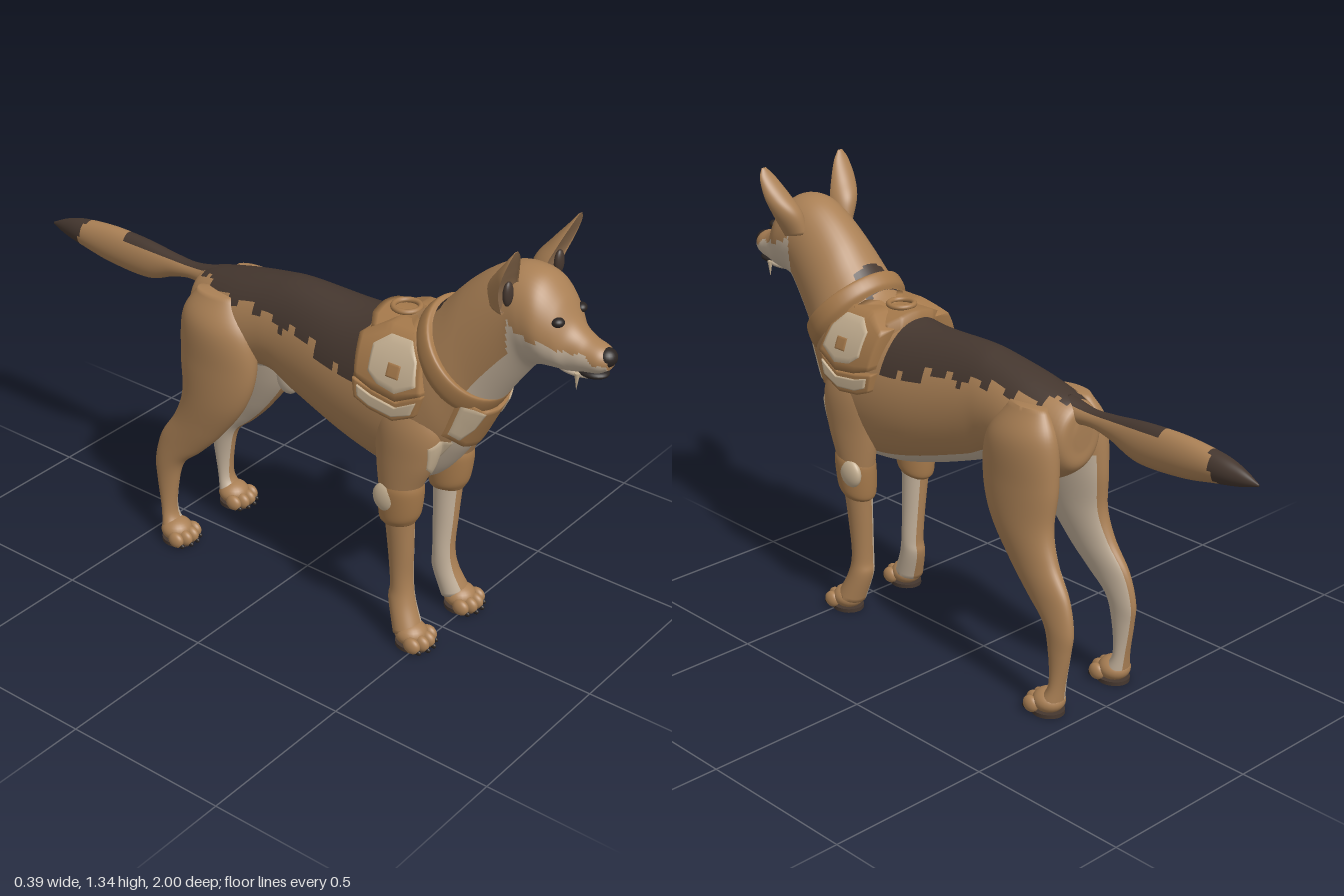
import * as THREE from 'three';

const mat = (name, color, side = THREE.FrontSide) =>
  Object.assign(new THREE.MeshStandardMaterial({ color, side }), { name });

export function createModel() {
  const model = new THREE.Group();
  model.name = 'armouredDog';
  const tan = mat('tan fur', 0xaa8055);
  const cream = mat('cream fur', 0xc2b09a);
  const dark = mat('dark fur', 0x45372f);
  const black = mat('nose black', 0x2a2422);
  const earSkin = mat('inner ear', 0x8c6c4e);
  const armour = mat('armour tan', 0xa5794b, THREE.DoubleSide);
  const panel = mat('armour cream', 0xc6b193, THREE.DoubleSide);
  const fur = [tan, cream, dark, earSkin];

  const add = (name, geo, material) => {
    const m = new THREE.Mesh(geo, material);
    m.name = name;
    model.add(m);
    return m;
  };

  // Skin through oval rings [z1, y1, z2, y2, halfWidth, xCentre]; points 1 and 2 are the
  // two ends of the oval. paint(position, cos, sin) returns a fur index for each face.
  function loft(name, rings, paint, material = fur, dent = 1) {
    const A = new THREE.CatmullRomCurve3(rings.map(r => new THREE.Vector3(r[5] || 0, r[1], r[0])), false, 'catmullrom');
    const B = new THREE.CatmullRomCurve3(rings.map(r => new THREE.Vector3(r[4], r[3], r[2])), false, 'catmullrom');
    const n = (rings.length - 1) * 8, m = 48, pos = [], lists = [[], [], [], []];
    for (let i = 0; i <= n; i++) {
      const a = A.getPoint(i / n), b = B.getPoint(i / n);
      for (let j = 0; j < m; j++) {
        const t = j / m * Math.PI * 2, s = Math.sin(t) * (Math.sin(t) > 0 ? dent : 1);
        pos.push(a.x + b.x * Math.cos(t), (a.y + b.y) / 2 + (a.y - b.y) / 2 * s, (a.z + b.z) / 2 + (a.z - b.z) / 2 * s);
      }
    }
    const p = new THREE.Vector3();
    const pick = (v, j) => {
      const t = (j + 0.5) / m * Math.PI * 2;
      return lists[paint ? paint(p.fromArray(pos, v * 3), Math.cos(t), Math.sin(t)) : 0];
    };
    for (let i = 0; i < n; i++) for (let j = 0; j < m; j++) {
      const k = (j + 1) % m, a = i * m + j, b = i * m + k;
      pick(a, j).push(a, b, a + m, b, b + m, a + m);
    }
    for (let j = 1; j < m - 1; j++) {
      pick(0, j).push(0, j + 1, j);
      pick(n * m, j).push(n * m, n * m + j, n * m + j + 1);
    }
    const g = new THREE.BufferGeometry();
    g.setAttribute('position', new THREE.Float32BufferAttribute(pos, 3));
    g.setIndex(lists.flat());
    let start = 0;
    if (Array.isArray(material)) lists.forEach((l, i) => { if (l.length) g.addGroup(start, l.length, i); start += l.length; });
    g.computeVertexNormals();
    return add(name, g, material);
  }

  function ellipsoid(name, x, y, z, rx, ry, rz, material) {
    const m = add(name, new THREE.SphereGeometry(1, 24, 16), material);
    m.position.set(x, y, z);
    m.scale.set(rx, ry, rz);
    return m;
  }

  // Plate ruled between two outlines, placed by map(u, v, lift), rim folded inwards
  function plate(name, top, bottom, map, material, lift = 0.012, rim = 0.02) {
    const nu = (top.length - 1) * 6, nv = 8, pos = [], idx = [];
    const at = (line, t) => {
      const f = t * (line.length - 1), i = Math.min(Math.floor(f), line.length - 2);
      return [0, 1].map(c => line[i][c] + (line[i + 1][c] - line[i][c]) * (f - i));
    };
    for (let i = -1; i <= nu + 1; i++) for (let j = -1; j <= nv + 1; j++) {
      const ci = Math.min(Math.max(i, 0), nu), cj = Math.min(Math.max(j, 0), nv);
      const a = at(top, ci / nu), b = at(bottom, ci / nu), s = cj / nv;
      pos.push(...map(a[0] + (b[0] - a[0]) * s, a[1] + (b[1] - a[1]) * s, lift - (i !== ci || j !== cj ? rim : 0)));
    }
    const w = nv + 3;
    for (let i = 0; i < nu + 2; i++) for (let j = 0; j < w - 1; j++) {
      const a = i * w + j;
      idx.push(a, a + w, a + 1, a + 1, a + w, a + w + 1);
    }
    const g = new THREE.BufferGeometry();
    g.setAttribute('position', new THREE.Float32BufferAttribute(pos, 3));
    g.setIndex(idx);
    g.computeVertexNormals();
    return add(name, g, material);
  }

  // Body, neck and head with saddle, belly, throat and cheek markings
  const body = loft('body', [
    [-.39, .84, -.385, .76, .03], [-.37, .89, -.37, .69, .085], [-.25, .925, -.25, .63, .12],
    [-.1, .955, -.1, .655, .115], [0, .967, 0, .61, .12], [.2, .962, .2, .54, .148],
    [.31, .975, .36, .505, .16], [.40, 1.0, .47, .515, .16], [.46, 1.045, .56, .62, .155],
    [.50, 1.085, .615, .72, .142], [.555, 1.145, .66, .81, .127], [.62, 1.2, .72, .90, .115],
    [.68, 1.235, .77, .965, .108], [.735, 1.245, .80, .98, .108], [.79, 1.232, .83, .985, .104],
    [.84, 1.185, .86, .985, .083], [.88, 1.125, .885, .985, .06], [.92, 1.095, .92, .995, .05],
    [.965, 1.08, .96, 1.005, .042], [.99, 1.06, .985, 1.02, .025],
  ], (p, c, s) => {
    const jag = .012 * Math.sin(p.z * 70) + .008 * Math.sin(p.z * 131);
    if (p.z < .27 && p.z > -.37 && s > 0 && p.y > (p.z > .1 ? .82 : p.z > -.05 ? .87 : .885) + jag) return 2;
    if (p.z > .42 && p.z < .49 && s > .9) return 2;
    if (p.z > .73 && p.y < 1.11 - .3 * (p.z - .75) + jag * .5) return 1;
    if (p.z > .62 && s < -.55 && p.y < 1.02) return 1;
    return p.z > -.3 && p.z < .62 && s < -.78 + jag ? 1 : 0;
  });
  ellipsoid('bellyTuft', 0, .625, -.07, .025, .05, .04, cream);

  // Tail, tip to root
  loft('tail', [
    [-1, .85, -1, .843, .003], [-.94, .878, -.94, .825, .022], [-.87, .896, -.87, .812, .035],
    [-.75, .908, -.75, .79, .04], [-.62, .905, -.6, .785, .037], [-.5, .892, -.5, .82, .028],
    [-.42, .888, -.42, .835, .026], [-.33, .905, -.33, .82, .04],
  ], (p, c, s) => p.z < -.87 + .015 * s || (s > .75 && p.z > -.7) ? 2 : 0);

  // Face
  ellipsoid('nose', 0, 1.052, .972, .029, .026, .028, black);
  ellipsoid('mouth', 0, 1.0, .935, .036, .014, .045, black);
  ellipsoid('lowerJaw', 0, .992, .89, .036, .014, .065, cream);

  const legs = [];
  for (const s of [1, -1]) {
    const side = s > 0 ? 'left' : 'right';
    const mirror = rings => rings.map(r => [...r.slice(0, 5), r[5] * s]);

    const eye = ellipsoid(side + 'Eye', s * .055, 1.135, .855, .018, .013, .016, black);
    eye.rotation.y = s * .5;
    const fang = add(side + 'Fang', new THREE.ConeGeometry(.008, .05, 12), panel);
    fang.position.set(s * .036, .975, .91);
    fang.rotation.x = Math.PI;

    // Cupped ear
    loft(side + 'Ear', mirror([
      [.785, 1.345, .775, 1.342, .008, .147], [.788, 1.315, .755, 1.315, .027, .142],
      [.79, 1.26, .715, 1.265, .042, .128], [.79, 1.2, .68, 1.215, .045, .108], [.78, 1.13, .67, 1.15, .035, .085],
    ]), (p, c, t) => t > .3 ? 3 : 0, fur, -.25);
    ellipsoid(side + 'EarHollow', s * .118, 1.205, .742, .018, .035, .012, dark);

    // Legs, cream on the inside
    const inner = top => (p, c) => p.y < top && c * s < -.35 ? 1 : 0;
    legs.push(loft(side + 'FrontLeg', mirror([
      [.50, .83, .37, .83, .025, .115], [.548, .72, .34, .73, .055, .115], [.533, .62, .345, .61, .055, .118],
      [.49, .52, .36, .5, .05, .12], [.47, .44, .375, .44, .043, .118], [.462, .3, .385, .3, .036, .108],
      [.458, .2, .392, .18, .035, .102], [.47, .13, .39, .13, .038, .106], [.50, .06, .42, .035, .045, .118],
    ]), inner(.5)));
    loft(side + 'HindLeg', mirror([
      [-.2, .88, -.33, .88, .03, .085], [-.13, .78, -.375, .8, .066, .096], [-.115, .66, -.385, .66, .065, .1],
      [-.15, .54, -.378, .54, .056, .108], [-.235, .42, -.405, .45, .043, .115], [-.31, .34, -.46, .36, .034, .122],
      [-.375, .28, -.482, .27, .03, .127], [-.40, .2, -.475, .2, .027, .13], [-.41, .1, -.457, .1, .028, .132],
      [-.385, .05, -.45, .04, .04, .135],
    ]), inner(.72));

    // Paws with toes, claws and dark soles
    for (const [end, x, z] of [['Front', .12, .475], ['Hind', .135, -.405]]) {
      const name = side + end;
      ellipsoid(name + 'Paw', s * x, .04, z, .048, .036, .048, tan);
      const sole = add(name + 'Sole', new THREE.CylinderGeometry(1, 1, .012, 24), dark);
      sole.position.set(s * x, .006, z + .005);
      sole.scale.set(.046, 1, .052);
      [-.041, -.014, .014, .041].forEach((dx, i) => {
        const fwd = i % 3 ? .045 : .032;
        ellipsoid(name + 'Toe', s * (x + dx), .028, z + fwd, .017, .025, .027, tan);
        ellipsoid(name + 'Claw', s * (x + dx), .014, z + fwd + .023, .006, .008, .01, black);
      });
    }

    // Elbow guard
    loft(side + 'ElbowGuard', mirror([
      [.495, .545, .37, .535, .045, .12], [.498, .51, .358, .5, .055, .12], [.488, .44, .362, .41, .053, .118],
      [.472, .405, .375, .39, .04, .118],
    ]), null, armour);
    ellipsoid(side + 'ElbowPad', s * .16, .485, .405, .02, .045, .043, panel);

    // Shoulder plates, curved over the withers
    const over = (z, y, lift) => [s * (.17 * Math.sqrt(Math.max(0, 1 - ((y - .77) / .25) ** 2)) + lift), y, z];
    plate(side + 'ShoulderPlate', [[.50, .93], [.45, .99], [.36, .99], [.285, .95]],
      [[.52, .85], [.44, .81], [.36, .82], [.30, .84]], over, armour, .012, .05);
    plate(side + 'ShoulderPanel', [[.485, .93], [.45, .97], [.38, .97], [.34, .94]],
      [[.50, .87], [.44, .835], [.38, .845], [.345, .87]], over, panel, .018, .006);
    plate(side + 'ShoulderBadge', [[.445, .91], [.405, .91]], [[.445, .875], [.405, .875]], over, armour, .021, .003);
    plate(side + 'LowerShoulderPlate', [[.52, .845], [.44, .805], [.36, .815], [.29, .83]],
      [[.50, .78], [.43, .745], [.35, .755], [.30, .775]], over, armour, .005, .04);
    plate(side + 'LowerShoulderPanel', [[.505, .825], [.44, .79], [.36, .80], [.31, .815]],
      [[.49, .785], [.43, .76], [.355, .768], [.315, .785]], over, panel, .011, .006);
  }

  // Harness collar
  loft('harnessCollar', [
    [.425, 1.01, .615, .765, .145], [.43, 1.035, .645, .785, .16], [.455, 1.06, .672, .83, .156], [.47, 1.055, .655, .835, .13],
  ], null, armour);

  // Chest plates draped over the chest
  const ray = new THREE.Raycaster();
  const drape = (x, y, lift) => {
    ray.set(new THREE.Vector3(x, y, 3), new THREE.Vector3(0, 0, -1));
    const hit = ray.intersectObjects([body, ...legs], false).find(h => h.point.z < .75);
    return [x, y, (hit ? hit.point.z : .5) + lift];
  };
  const both = half => [...half.slice(1).reverse().map(([x, y]) => [-x, y]), ...half];
  plate('chestPlate', both([[0, .79], [.06, .80], [.12, .85]]), both([[0, .65], [.06, .67], [.12, .72]]), drape, armour);
  for (const s of [1, -1]) {
    const flip = line => line.map(([x, y]) => [x * s, y]);
    plate('chestPanel', flip([[.055, .79], [.09, .815], [.118, .83]]), flip([[.065, .74], [.09, .705], [.118, .73]]), drape, panel, .018, .006);
    plate('shoulderMarking', flip([[.09, .69], [.12, .7], [.148, .68]]), flip([[.095, .62], [.115, .585], [.14, .61]]), drape, panel, .005, .004);
  }

  // Back plate with ring
  const back = (x, z, lift) => [x, .985 - 3 * x * x + (z > .38 ? (z - .38) * .4 : 0) + lift, z];
  plate('backPlate', both([[0, .27], [.06, .275], [.1, .30]]), both([[0, .41], [.05, .43], [.1, .44]]), back, armour, .005, .04);
  const ring = add('backRing', new THREE.TorusGeometry(.038, .008, 12, 32), armour);
  ring.position.set(0, .995, .345);
  ring.rotation.x = Math.PI / 2;

  return model;
}
